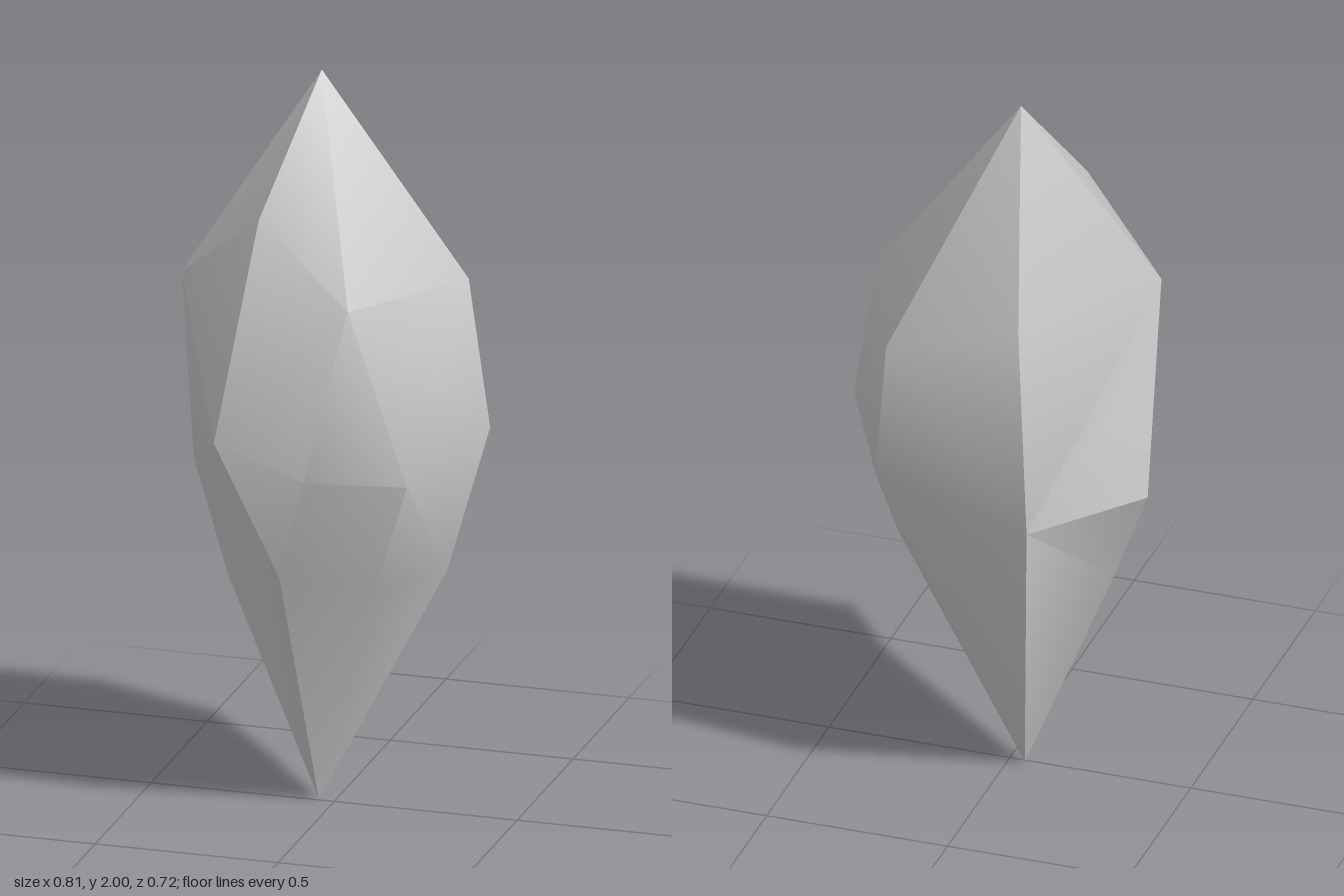
import * as THREE from 'three';
import { toCreasedNormals } from 'three/addons/utils/BufferGeometryUtils.js';

export function createModel() {
  const group = new THREE.Group();
  group.name = 'crystalShard';

  // corners of the shard, in rings from the top tip to the bottom tip
  const tip = [-0.055, 2, -0.07];
  const shoulder = [ // 1-6
    [0.12, 1.46, 0.27], [0.345, 1.46, -0.075], [0.225, 1.37, -0.34],
    [-0.135, 1.47, -0.325], [-0.39, 1.46, 0.085], [-0.14, 1.67, 0.215],
  ];
  const waist = [ // 7-15
    [0.31, 1.26, 0.11], [0.405, 1.055, -0.07], [0.265, 0.97, -0.31],
    [-0.17, 0.89, -0.36], [-0.3, 1.1, -0.14], [-0.405, 0.89, -0.07],
    [-0.22, 1.09, 0.355], [0.02, 1.0, 0.34], [0.265, 0.97, 0.215],
  ];
  const taper = [ // 16-20
    [-0.07, 0.7, 0.26], [0.15, 0.645, 0.12], [0.295, 0.655, -0.045],
    [0.1, 0.5, -0.2], [-0.29, 0.6, 0],
  ];
  const foot = [-0.045, 0, -0.01]; // 21
  const corners = [tip, ...shoulder, ...waist, ...taper, foot];

  const index = [];
  // fans that close the two tips
  const topRim = [1, 2, 3, 4, 5, 6];
  const bottomRim = [16, 17, 18, 19, 10, 20];
  topRim.forEach((a, i) => index.push(0, a, topRim[(i + 1) % topRim.length]));
  bottomRim.forEach((a, i) => index.push(21, bottomRim[(i + 1) % bottomRim.length], a));

  // facets between shoulder and waist
  index.push(
    5, 13, 6, 6, 13, 1, 1, 7, 2, 1, 15, 7, 2, 7, 8, 7, 15, 8, 1, 14, 15, 1, 13, 14,
    2, 8, 3, 3, 8, 9, 3, 9, 10, 3, 10, 4, 4, 10, 5, 5, 10, 11, 11, 10, 12, 5, 11, 12, 5, 12, 13,
  );
  // facets between waist and taper
  index.push(
    13, 12, 16, 12, 20, 16, 13, 16, 14, 14, 16, 17, 14, 17, 15,
    15, 17, 18, 15, 18, 8, 8, 18, 9, 18, 19, 9, 9, 19, 10, 10, 20, 12,
  );

  const geometry = new THREE.BufferGeometry();
  geometry.setAttribute('position', new THREE.Float32BufferAttribute(corners.flat(), 3));
  geometry.setIndex(index);

  // soft shading across shallow facets, sharp along the main ridges
  const shard = new THREE.Mesh(
    toCreasedNormals(geometry, 0.6),
    new THREE.MeshStandardMaterial({ color: 0xcccccc }),
  );
  shard.name = 'shard';
  group.add(shard);
  return group;
}
